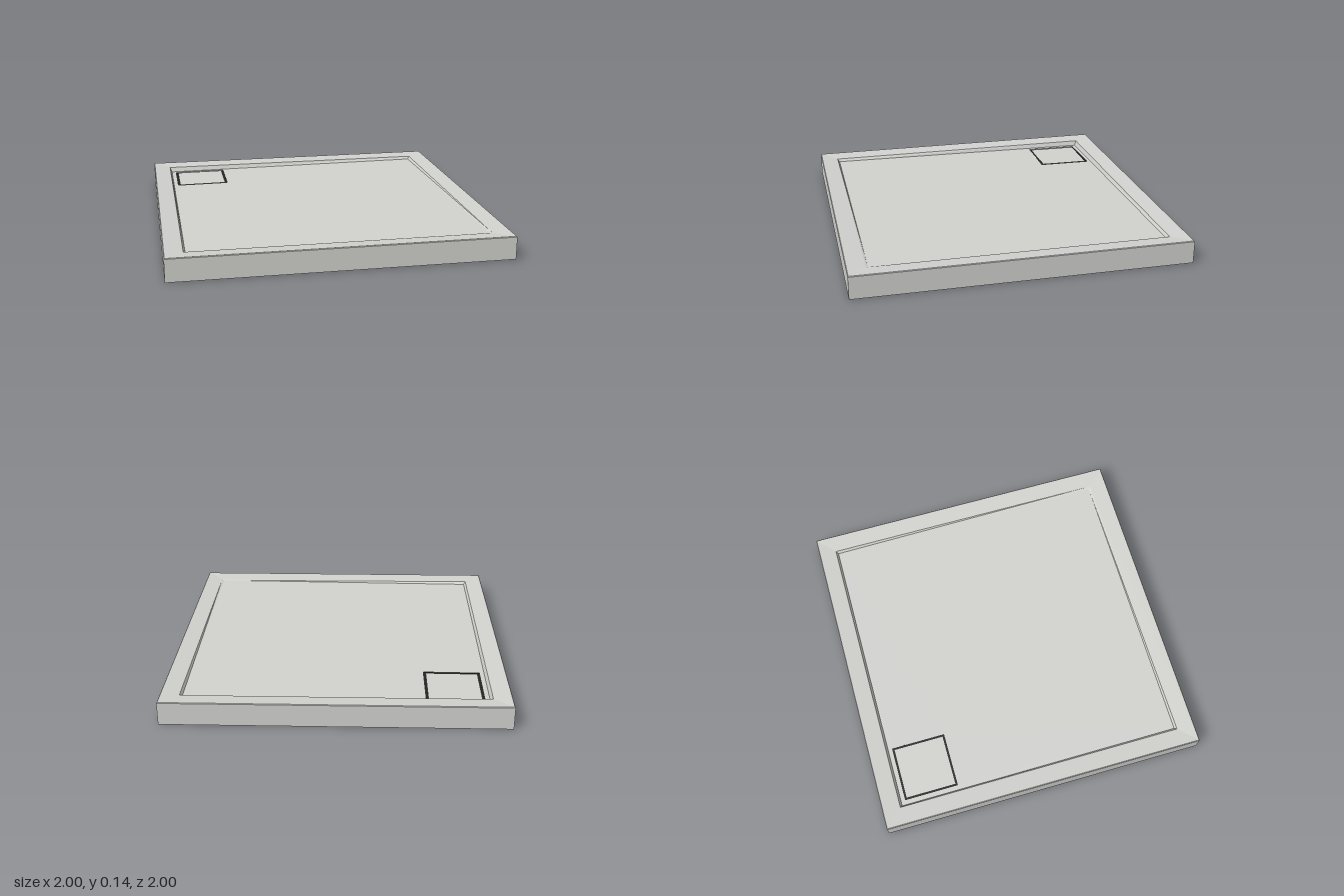
import * as THREE from 'three';

// Gentle fall of the floor towards the drain corner
const floorY = (x, z) => 0.114 + 0.0075 * (x + z);
const INNER = 0.878;
const DRAIN = { x: -0.682, z: -0.685, outer: 0.335, cover: 0.309 };

// Square rings [half width, height] joined by flat quads
function squareLoft(rings) {
  const corners = [[-1, 1], [1, 1], [1, -1], [-1, -1]];
  const point = ([half, y], [sx, sz]) => {
    const x = sx * half, z = sz * half;
    return [x, typeof y === 'function' ? y(x, z) : y, z];
  };
  const pos = [];
  for (let r = 0; r < rings.length - 1; r++) {
    for (let i = 0; i < 4; i++) {
      const c0 = corners[i], c1 = corners[(i + 1) % 4];
      const a = point(rings[r], c0), b = point(rings[r], c1);
      const c = point(rings[r + 1], c1), d = point(rings[r + 1], c0);
      pos.push(...a, ...b, ...c, ...a, ...c, ...d);
    }
  }
  const geo = new THREE.BufferGeometry();
  geo.setAttribute('position', new THREE.Float32BufferAttribute(pos, 3));
  geo.computeVertexNormals();
  return geo;
}

function squarePath(path, cx, cz, size) {
  const h = size / 2;
  path.moveTo(cx - h, -cz - h);
  path.lineTo(cx + h, -cz - h);
  path.lineTo(cx + h, -cz + h);
  path.lineTo(cx - h, -cz + h);
  path.closePath();
  return path;
}

// Flat square sheet laid on the sloping floor, optionally with a hole
function slopedSheet(cx, cz, size, drop = 0, hole = null) {
  const shape = squarePath(new THREE.Shape(), cx, cz, size);
  if (hole) shape.holes.push(hole);
  const geo = new THREE.ShapeGeometry(shape);
  geo.rotateX(-Math.PI / 2);
  const p = geo.attributes.position;
  for (let i = 0; i < p.count; i++) p.setY(i, floorY(p.getX(i), p.getZ(i)) - drop);
  geo.computeVertexNormals();
  return geo;
}

export function createModel() {
  const group = new THREE.Group();
  const tray = new THREE.MeshStandardMaterial({ color: 0xd2d2cf });
  tray.name = 'trayGrey';
  const dark = new THREE.MeshStandardMaterial({ color: 0x222222 });
  dark.name = 'black';

  const add = (name, geo, mat) => {
    const mesh = new THREE.Mesh(geo, mat);
    mesh.name = name;
    group.add(mesh);
    return mesh;
  };

  // Outer walls, bevelled edge, inward sloping rim and step to the floor
  add('rim', squareLoft([
    [1, 0.001], [1, 0.136], [0.996, 0.14], [0.89, 0.131], [INNER, floorY],
  ]), tray);

  // Floor with the drain opening
  const opening = squarePath(new THREE.Path(), DRAIN.x, DRAIN.z, DRAIN.outer);
  add('floor', slopedSheet(0, 0, INNER * 2, 0, opening), tray);

  // Dark gap around the square drain cover
  add('drainGap', slopedSheet(DRAIN.x, DRAIN.z, DRAIN.outer + 0.002, 0.004), dark);
  add('drainCover', slopedSheet(DRAIN.x, DRAIN.z, DRAIN.cover), tray);

  // Underside plate and drain outlet ring
  const base = add('underside', new THREE.BoxGeometry(1.998, 0.004, 1.998), dark);
  base.position.y = 0.003;
  const ring = add('outletRing', new THREE.RingGeometry(0.088, 0.125, 48), tray);
  ring.rotation.x = Math.PI / 2;
  ring.position.set(DRAIN.x, 0, DRAIN.z);

  return group;
}
